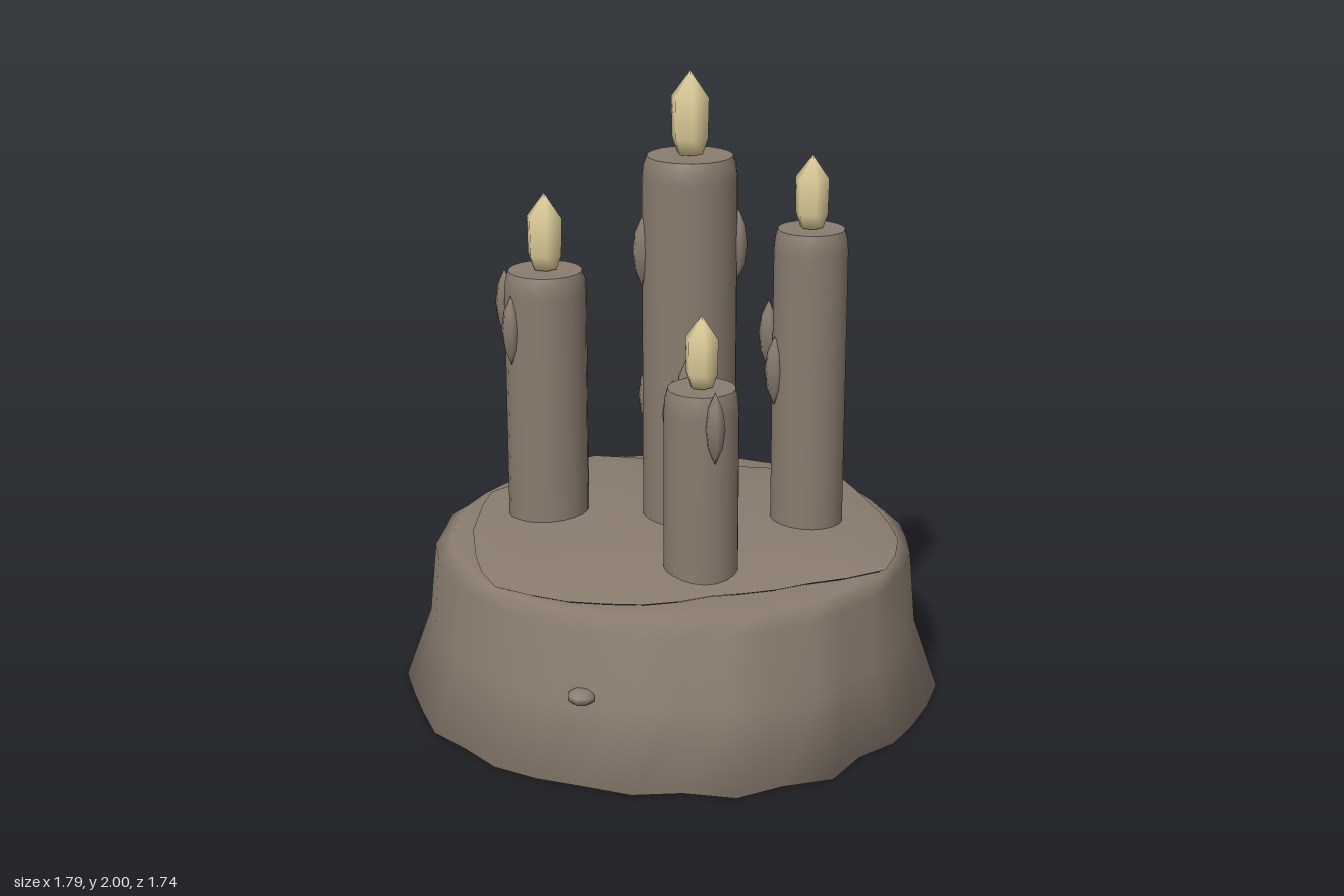
import * as THREE from 'three';

const wax = new THREE.MeshStandardMaterial({ color: 0x8a7c6f });
wax.name = 'brown wax';
const glow = new THREE.MeshStandardMaterial({ color: 0xdccb98 });
glow.name = 'pale flame';

// Outline radii every 10 degrees, starting at +x and turning toward +z
const foot = [.85, .91, .88, .91, .86, .88, .86, .87, .88, .86, .88, .86,
  .86, .88, .85, .91, .86, .91, .84, .88, .86, .87, .86, .86,
  .84, .88, .82, .87, .84, .86, .87, .85, .87, .86, .86, .87];
const rim = [.62, .60, .58, .57, .60, .63, .65, .68, .70, .73, .70, .67,
  .65, .65, .65, .67, .70, .68, .70, .73, .75, .69, .64, .61,
  .62, .65, .70, .76, .72, .70, .70, .71, .73, .74, .75, .68];

// Skin a stack of rings; each ring is { y, r(j) }
function loft(rings) {
  const n = foot.length, pos = [], index = [];
  for (const { y, r } of rings) {
    for (let j = 0; j < n; j++) {
      const a = (j / n) * Math.PI * 2;
      pos.push(r(j) * Math.cos(a), y, r(j) * Math.sin(a));
    }
  }
  for (let i = 0; i < rings.length - 1; i++) {
    for (let j = 0; j < n; j++) {
      const a = i * n + j, b = i * n + (j + 1) % n;
      index.push(a, a + n, b, b, a + n, b + n);
    }
  }
  const g = new THREE.BufferGeometry();
  g.setAttribute('position', new THREE.Float32BufferAttribute(pos, 3));
  g.setIndex(index);
  g.computeVertexNormals();
  return g;
}

function add(parent, name, geometry, material, x = 0, y = 0, z = 0) {
  const m = new THREE.Mesh(geometry, material);
  m.name = name;
  m.position.set(x, y, z);
  parent.add(m);
  return m;
}

const lathe = (points, sides) =>
  new THREE.LatheGeometry(points.map(([r, y]) => new THREE.Vector2(r, y)), sides);

export function createModel() {
  const model = new THREE.Group();
  model.name = 'candleCluster';

  // Melted mound: flared wavy foot, steep wall, shoulder
  add(model, 'moundWall', loft([
    { y: 0, r: () => 0 },
    { y: 0, r: () => 0.74 },
    { y: 0, r: j => foot[j] },
    { y: 0.23, r: j => 0.79 + (foot[j] - 0.87) * 0.6 },
    { y: 0.46, r: j => 0.77 + (foot[j] - 0.87) * 0.3 },
    { y: 0.5, r: j => Math.max(rim[j], 0.72) },
    { y: 0.495, r: j => rim[j] - 0.02 },
  ]), wax);

  // Faceted, slightly domed top
  add(model, 'moundTop', loft([
    { y: 0.505, r: j => rim[j] },
    { y: 0.53, r: j => rim[j] * 0.78 },
    { y: 0.545, r: () => 0.2 },
    { y: 0.548, r: () => 0 },
  ]), wax);

  // Lumps on the wall
  const lump = new THREE.SphereGeometry(1, 8, 5);
  for (const [x, y, z, w, h, d] of [
    [0.37, 0.26, 0.7, 0.045, 0.025, 0.04],
    [-0.51, 0.23, -0.61, 0.14, 0.075, 0.07],
  ]) {
    const m = add(model, 'waxLump', lump, wax, x, y, z);
    m.scale.set(w, h, d);
    m.rotation.y = Math.atan2(x, z);
  }

  // Candles: x, z, radius, top height, flame height, drips [x, y, z]
  const candles = [
    [0, -0.07, 0.15, 1.735, 0.265, [[-0.08, 1.43, 0.06], [-0.04, 1.61, -0.225], [0.11, 1.45, -0.175]]],
    [0.27, -0.34, 0.118, 1.505, 0.235, [[0.17, 1.25, -0.42], [0.165, 1.15, -0.26], [0.23, 1.05, -0.225]]],
    [-0.35, 0.235, 0.132, 1.35, 0.25, [[-0.46, 1.23, 0.315], [-0.36, 1.17, 0.37]]],
    [-0.31, -0.305, 0.105, 0.99, 0.19, [[-0.37, 0.82, -0.215], [-0.315, 0.74, -0.2], [-0.24, 0.82, -0.225]]],
    [0.345, 0.195, 0.115, 1.115, 0.225, [[0.225, 1.05, 0.15], [0.235, 1.0, 0.215], [0.455, 1.02, 0.24]]],
  ];
  const dripShape = lathe([[0, -0.115], [0.024, -0.06], [0.032, 0], [0.024, 0.06], [0, 0.115]], 6);
  const flameShape = lathe([[0, 0], [0.16, 0.01], [0.225, 0.2], [0.235, 0.68], [0, 1]], 6);

  for (const [x, z, r, top, flame, drips] of candles) {
    const candle = new THREE.Group();
    candle.name = 'candle';
    model.add(candle);
    add(candle, 'candleBody', lathe([
      [r, 0.45], [r, top - 0.07], [r * 0.97, top - 0.03], [r * 0.9, top - 0.002],
    ], 20), wax, x, 0, z);
    const lid = add(candle, 'candleTop', new THREE.CircleGeometry(r * 0.9, 20), wax, x, top - 0.002, z);
    lid.rotation.x = -Math.PI / 2;
    add(candle, 'flame', flameShape, glow, x, top, z).scale.setScalar(flame);
    for (const [dx, dy, dz] of drips) add(candle, 'waxDrip', dripShape, wax, dx, dy, dz);
  }
  return model;
}
